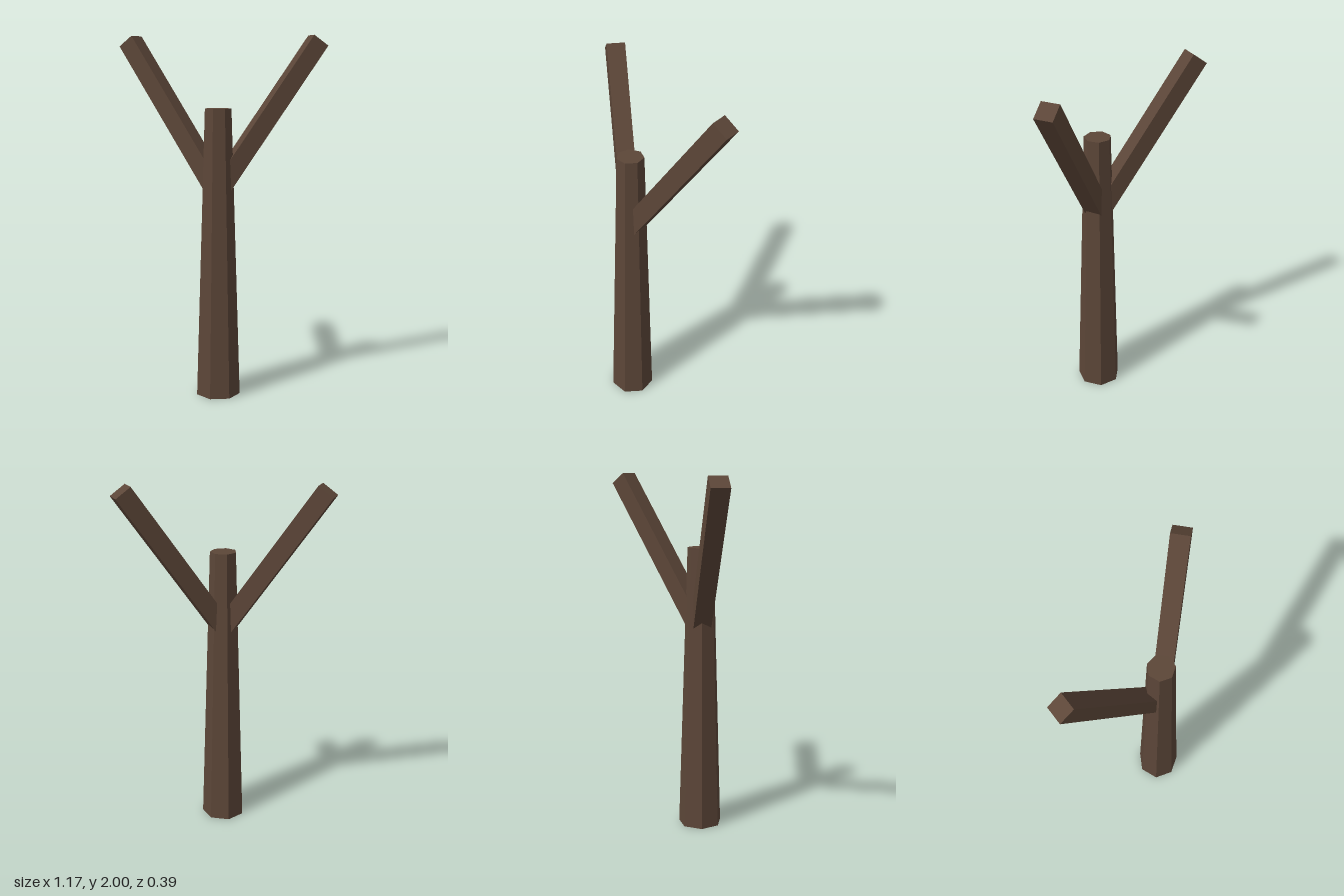
import * as THREE from 'three';

const TRUNK_Z = 0.072;
const TRUNK_HEIGHT = 1.605;
const BRANCH_LENGTH = 0.99;

export function createModel() {
  const group = new THREE.Group();
  group.name = 'bareTree';
  const bark = new THREE.MeshStandardMaterial({ color: 0x5c4638, flatShading: true });

  // Tapered seven-sided trunk with one corner facing +x
  const trunk = new THREE.Mesh(
    new THREE.CylinderGeometry(0.074, 0.124, TRUNK_HEIGHT, 7, 1, false, Math.PI / 2),
    bark
  );
  trunk.name = 'trunk';
  trunk.position.set(0, TRUNK_HEIGHT / 2, TRUNK_Z);
  group.add(trunk);

  // Two square branches rising from the trunk axis, leaning outward and back
  const tilt = THREE.MathUtils.degToRad(35);
  const sweep = THREE.MathUtils.degToRad(21.6);
  for (const side of [1, -1]) {
    const geometry = new THREE.BoxGeometry(0.1, BRANCH_LENGTH, 0.1);
    geometry.translate(0, BRANCH_LENGTH / 2, 0);
    geometry.rotateZ(-side * tilt);
    geometry.rotateY(side * sweep);
    const branch = new THREE.Mesh(geometry, bark);
    branch.name = side > 0 ? 'leftBranch' : 'rightBranch';
    branch.position.set(0, 1.16, TRUNK_Z);
    group.add(branch);
  }

  return group;
}
